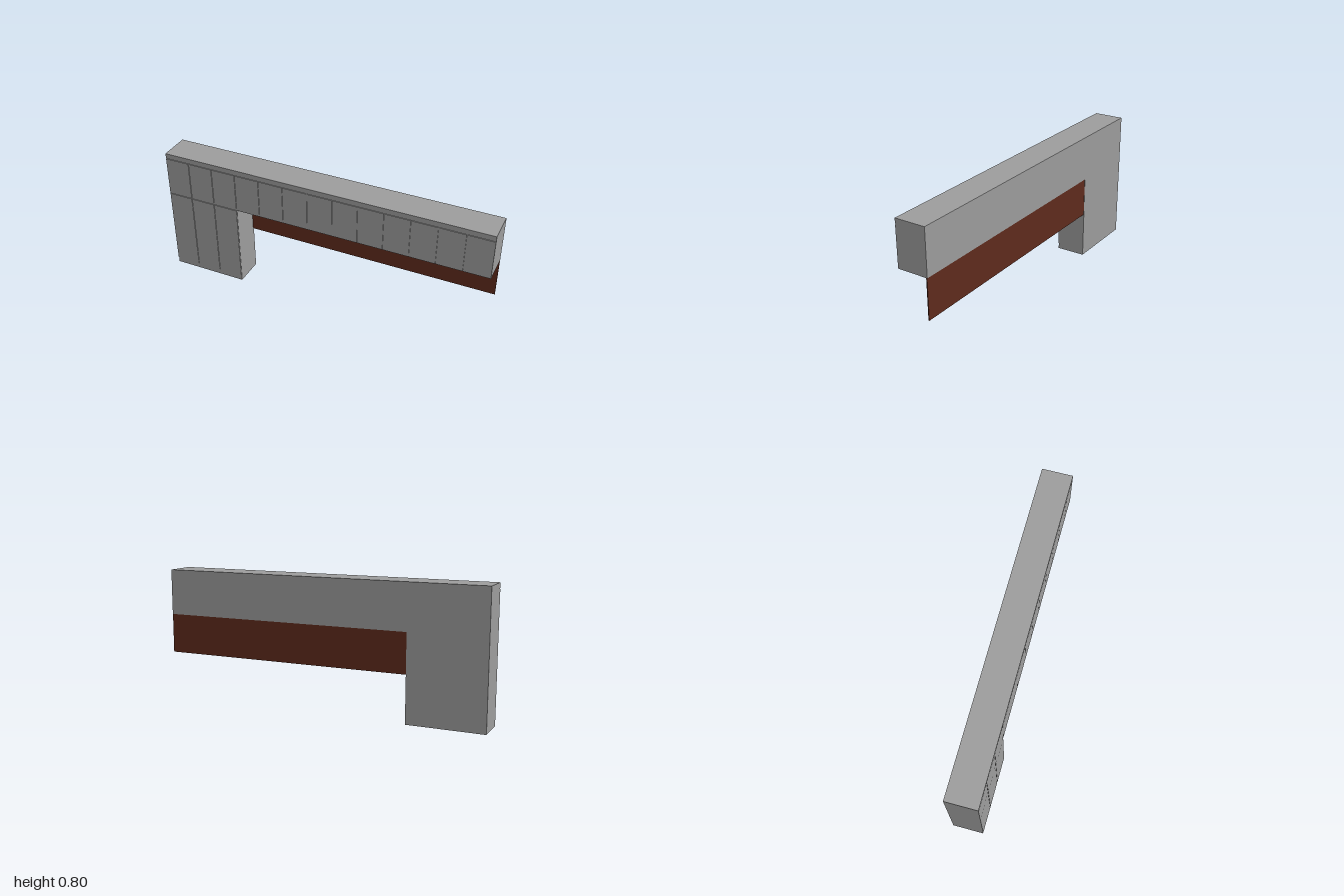
import * as THREE from 'three';

export function createModel() {
  const model = new THREE.Group();
  const stone = new THREE.MeshStandardMaterial({ color: 0x9c9c9c });
  const brown = new THREE.MeshStandardMaterial({ color: 0x5e2a1c });

  // Box given by its lower and upper limits on each axis
  function box(name, x0, x1, y0, y1, z0, z1, material, parent = model) {
    const mesh = new THREE.Mesh(new THREE.BoxGeometry(x1 - x0, y1 - y0, z1 - z0), material);
    mesh.position.set((x0 + x1) / 2, (y0 + y1) / 2, (z0 + z1) / 2);
    mesh.name = name;
    parent.add(mesh);
  }

  const columns = 13, legColumns = 3;
  const pitch = 2 / columns;
  const legX = -1 + legColumns * pitch;
  const back = -0.0925, core = 0.088, front = 0.0925;
  const top = 0.8, beamY = 0.524, gap = 0.004;

  // L-shaped wall core: a leg carrying a long beam
  const outline = new THREE.Shape([
    [-1, 0], [legX, 0], [legX, beamY], [1, beamY], [1, top], [-1, top],
  ].map(([x, y]) => new THREE.Vector2(x, y)));
  const wallGeometry = new THREE.ExtrudeGeometry(outline, { depth: core - back, bevelEnabled: false });
  const wall = new THREE.Mesh(wallGeometry, stone);
  wall.position.z = back;
  wall.name = 'wallCore';
  model.add(wall);

  // Facing slabs separated by narrow grooves
  const facing = new THREE.Group();
  facing.name = 'facingPanels';
  model.add(facing);
  for (let i = 0; i < columns; i++) {
    const x0 = -1 + i * pitch + (i > 0 ? gap / 2 : 0);
    const x1 = -1 + (i + 1) * pitch - (i < columns - 1 ? gap / 2 : 0);
    box('upperPanel', x0, x1, beamY + 0.002, 0.765, core, front, stone, facing);
    if (i < legColumns) box('legPanel', x0, x1, 0.035, beamY - 0.002, core, front, stone, facing);
  }

  // Continuous cap strip along the top
  box('capStrip', -1, 1, 0.769, top, core, front, stone);

  // Thin board below the beam, set just inside the back face
  box('backBoard', legX, 1, 0.285, beamY, -0.091, -0.0855, brown);

  return model;
}
